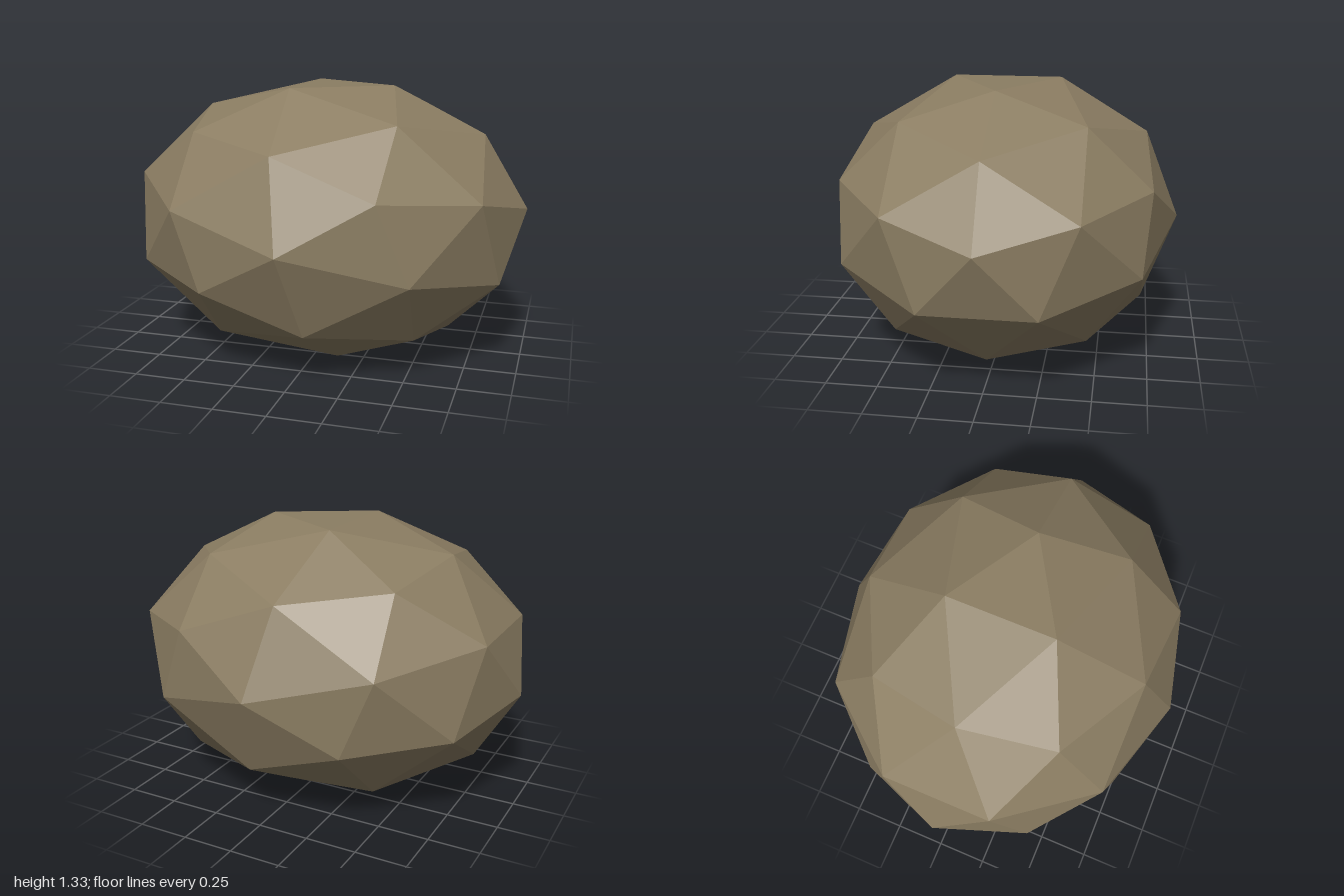
import * as THREE from 'three';

export function createModel() {
  const group = new THREE.Group();
  group.name = 'boulder';

  const stone = new THREE.MeshStandardMaterial({ color: 0x8b7d62, flatShading: true });
  stone.name = 'stone';

  // Faceted ball, tilted so it rests on a flat facet, then squashed into a boulder
  const geometry = new THREE.IcosahedronGeometry(1, 1);
  geometry.rotateZ(-0.8913);
  geometry.scale(1.008, 0.707, 0.873);
  geometry.computeBoundingBox();
  geometry.translate(0, -geometry.boundingBox.min.y, 0);
  geometry.computeVertexNormals();

  const rock = new THREE.Mesh(geometry, stone);
  rock.name = 'rock';
  group.add(rock);
  return group;
}
